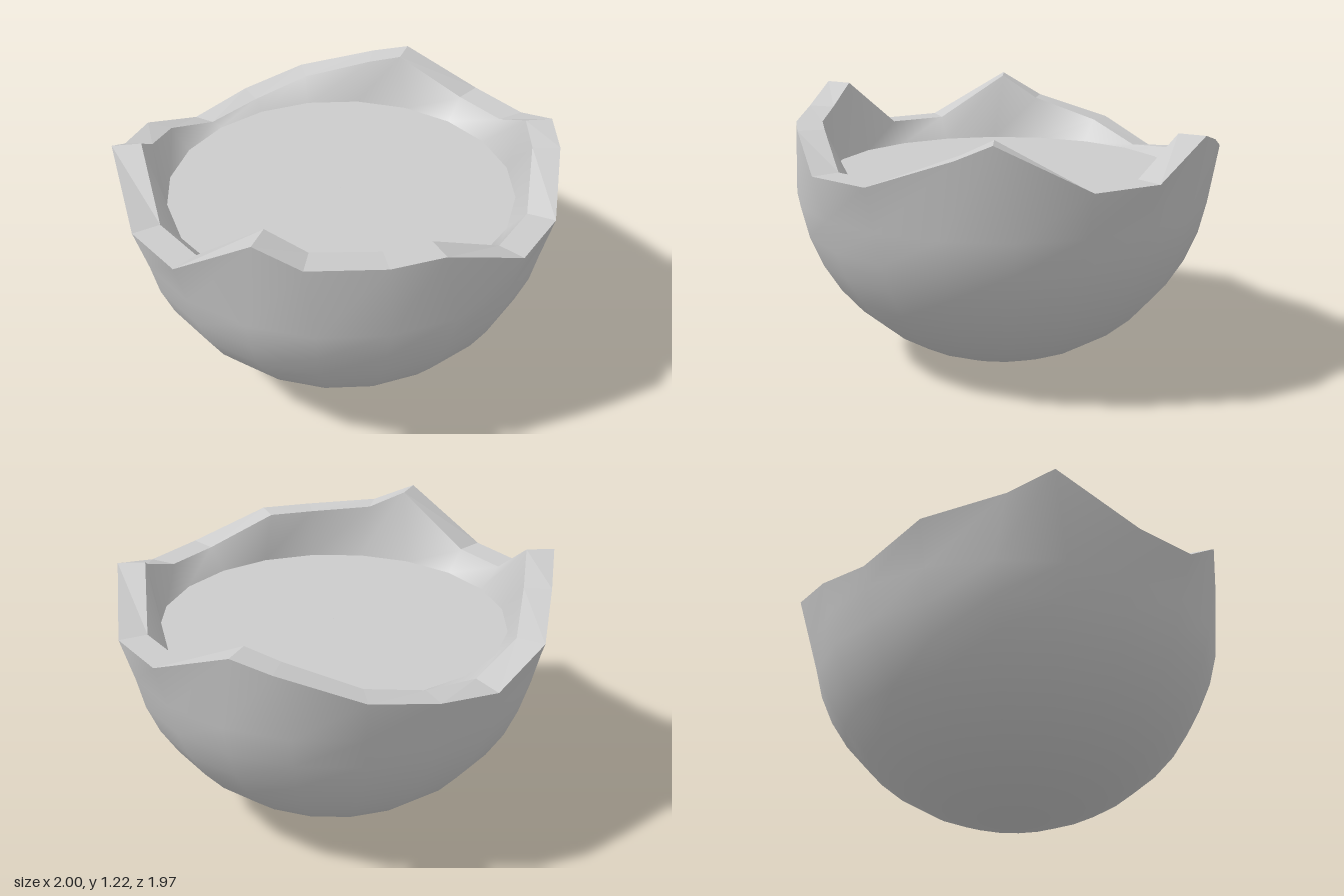
import * as THREE from 'three';

const SIDES = 20, CENTRE_Z = -0.02;

// Broken edge [x, y, z], one point per side, from the front round through the left (+x)
const EDGE = [
  [0, 0.98, 0.98], [0.305, 0.98, 0.925], [0.62, 1.11, 0.72], [0.715, 1.17, 0.605],
  [0.95, 0.98, 0.29], [1, 0.98, -0.02], [0.905, 1.12, -0.385], [0.82, 1.075, -0.54],
  [0.595, 0.98, -0.83], [0.305, 0.92, -0.945], [0, 0.87, -0.985], [-0.31, 0.98, -0.97],
  [-0.605, 1.08, -0.77], [-0.765, 1.19, -0.65], [-0.95, 0.98, -0.33], [-1, 0.98, -0.02],
  [-0.905, 1.215, 0.34], [-0.8, 1.125, 0.51], [-0.55, 1.105, 0.73], [-0.34, 1.105, 0.845],
];

// Horizontal ring of points
function ring(radius, y) {
  return Array.from({ length: SIDES }, (_, i) => {
    const a = (i / SIDES) * Math.PI * 2;
    return [Math.sin(a) * radius, y, Math.cos(a) * radius + CENTRE_Z];
  });
}

// Skin closed rings; the visible side is outward for rings going up
function loft(name, rings, flatShading = false) {
  const index = [];
  for (let r = 0; r < rings.length - 1; r++) {
    for (let i = 0; i < SIDES; i++) {
      const j = (i + 1) % SIDES;
      const a = r * SIDES + i, b = r * SIDES + j;
      index.push(a, b, b + SIDES, a, b + SIDES, a + SIDES);
    }
  }
  const geometry = new THREE.BufferGeometry();
  geometry.setAttribute('position', new THREE.Float32BufferAttribute(rings.flat(2), 3));
  geometry.setIndex(index);
  geometry.computeVertexNormals();
  const mesh = new THREE.Mesh(geometry, new THREE.MeshStandardMaterial({
    color: 0xcccccc, flatShading, side: THREE.DoubleSide,
  }));
  mesh.name = name;
  return mesh;
}

export function createModel() {
  const group = new THREE.Group();
  group.name = 'brokenShellBowl';

  // Round outer shell, ending in the jagged edge
  const outer = [];
  for (let k = 0; k <= 9; k++) {
    const a = (k * Math.PI) / 20;
    outer.push(ring(Math.max(0.95 * Math.sin(a), 0.001), 0.925 * (1 - Math.cos(a))));
  }
  group.add(loft('outerShell', [...outer, EDGE]));

  // Thickness of the broken edge
  const innerEdge = EDGE.map(([x, y, z]) => [
    x * 0.873, Math.max(y, 0.89), (z - CENTRE_Z) * 0.873 + CENTRE_Z,
  ]);
  group.add(loft('brokenRim', [EDGE, innerEdge], true));

  // Inside wall down to the filling
  const level = 0.88;
  group.add(loft('innerWall', [innerEdge, ring(0.785, level)]));

  // Flat filling surface
  group.add(loft('fillingSurface', [ring(0.785, level), ring(0.001, level)]));

  return group;
}
